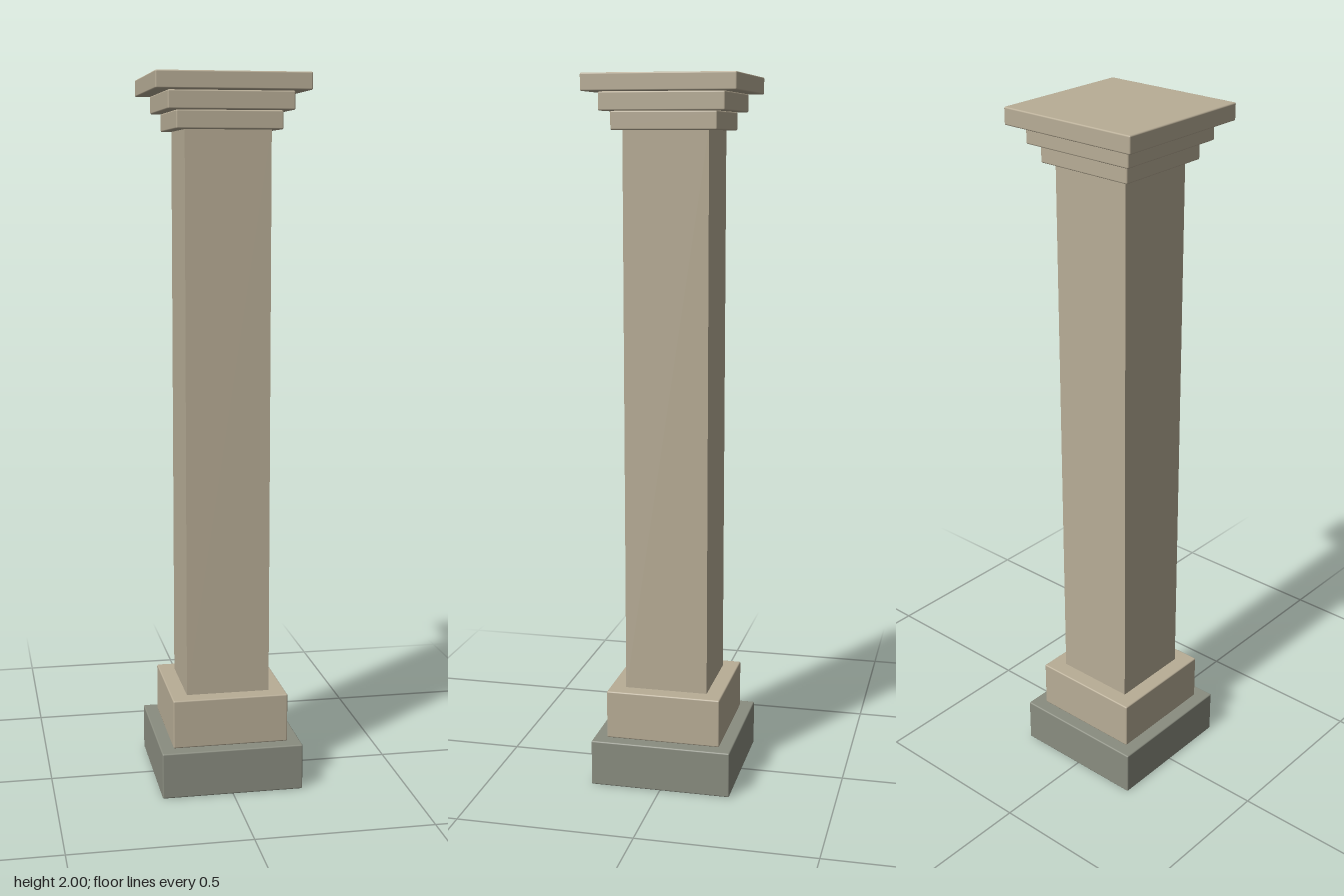
import * as THREE from 'three';
import { RoundedBoxGeometry } from 'three/addons/geometries/RoundedBoxGeometry.js';

export function createModel() {
  const group = new THREE.Group();
  group.name = 'squareColumn';

  const sandstone = new THREE.MeshStandardMaterial({ color: 0xb8ad96 });
  sandstone.name = 'sandstone';
  const greyStone = new THREE.MeshStandardMaterial({ color: 0x8a8d80 });
  greyStone.name = 'greyStone';

  // A square block between two heights, with slightly eased edges
  function block(name, width, bottom, top, material, radius = 0.004) {
    const height = top - bottom;
    const geometry = radius
      ? new RoundedBoxGeometry(width, height, width, 2, radius)
      : new THREE.BoxGeometry(width, height, width);
    const mesh = new THREE.Mesh(geometry, material);
    mesh.name = name;
    mesh.position.y = (bottom + top) / 2;
    group.add(mesh);
  }

  // Base
  block('footing', 0.404, 0, 0.132, greyStone);
  block('plinth', 0.33, 0.132, 0.272, sandstone);

  // Shaft, let slightly into its neighbours
  block('shaft', 0.238, 0.265, 1.86, sandstone, 0);

  // Stepped capital
  block('capitalLowerStep', 0.292, 1.853, 1.903, sandstone);
  block('capitalUpperStep', 0.344, 1.903, 1.953, sandstone);
  block('abacus', 0.42, 1.953, 2, sandstone);

  return group;
}
